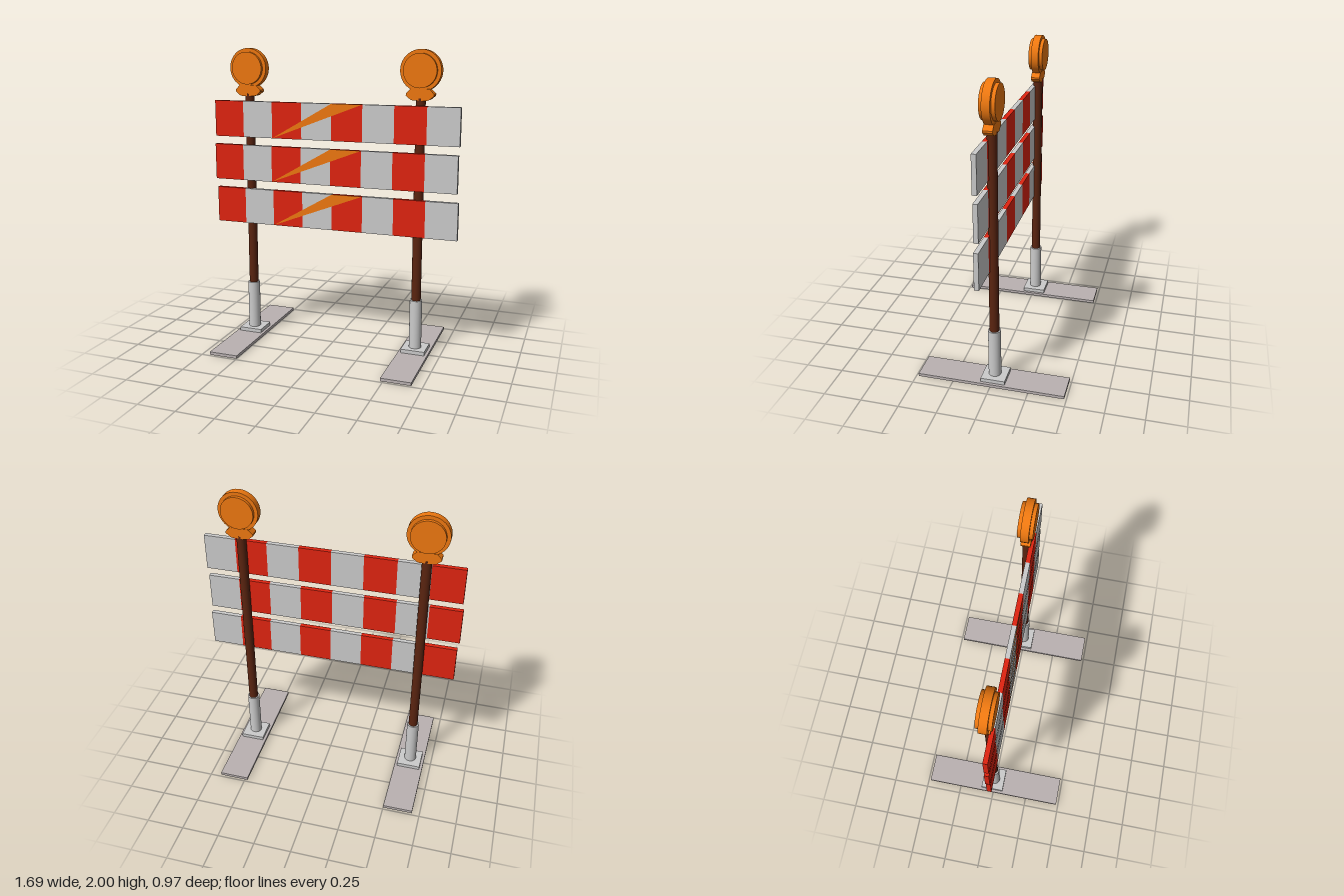
import * as THREE from 'three';

const mat = (color, extra = {}) => new THREE.MeshStandardMaterial({ color, ...extra });
const grey = mat(0xcccccc);
const plateGrey = mat(0xbab2b2);
const red = mat(0xe02410);
const orange = mat(0xee7810);
const orangeThin = mat(0xee7810, { side: THREE.DoubleSide });
const brown = mat(0x5a2410);

const BOARD_W = 1.685, BOARD_H = 0.243, BOARD_D = 0.03, STRIPES = 8;
const AXIS_Z = -0.008;

function add(parent, name, geometry, material, x = 0, y = 0, z = 0) {
  const mesh = new THREE.Mesh(geometry, material);
  mesh.name = name;
  mesh.position.set(x, y, z);
  parent.add(mesh);
  return mesh;
}

// One box split into stripes: red and grey alternate, the underside is orange
function stripedBoardGeometry() {
  const g = new THREE.BoxGeometry(BOARD_W, BOARD_H, BOARD_D, STRIPES, 1, 1);
  const { position, normal } = g.attributes;
  const index = g.index;
  g.clearGroups();
  for (let i = 0; i < index.count; i += 6) {
    const a = index.getX(i), c = index.getX(i + 4);
    const mid = (position.getX(a) + position.getX(c)) / 2;
    const stripe = Math.min(STRIPES - 1, Math.floor((mid / BOARD_W + 0.5) * STRIPES));
    g.addGroup(i, 6, normal.getY(a) < -0.5 ? 2 : stripe % 2);
  }
  return g;
}

// Slanted orange wedge on the face of a board
function wedgeGeometry() {
  const w = BOARD_W / STRIPES, h = BOARD_H / 2;
  return new THREE.ShapeGeometry(new THREE.Shape([
    new THREE.Vector2(-2 * w, -h), new THREE.Vector2(w, h), new THREE.Vector2(0, h),
  ]));
}

// Round warning lamp: broad rim, stepped lens on both sides, flared neck
function createLamp() {
  const lamp = new THREE.Group();
  lamp.name = 'warningLamp';
  const disc = (name, r, depth) => {
    const g = new THREE.CylinderGeometry(r, r, depth, 40).rotateX(Math.PI / 2);
    add(lamp, name, g, orange, 0, 1.87, -0.01);
  };
  disc('lampRim', 0.131, 0.05);
  disc('lampLens', 0.107, 0.095);

  const half = [[0.042, 1.685], [0.06, 1.69], [0.09, 1.715], [0.09, 1.727], [0.06, 1.757]];
  const outline = [...half, ...half.map(([x, y]) => [-x, y]).reverse()];
  const neck = new THREE.ExtrudeGeometry(
    new THREE.Shape(outline.map(([x, y]) => new THREE.Vector2(x, y))),
    { depth: 0.06, bevelEnabled: false });
  add(lamp, 'lampNeck', neck, orange, 0, 0, -0.038);
  return lamp;
}

// Foot plate, flange, sleeve, post and lamp
function createStand(name, x) {
  const stand = new THREE.Group();
  stand.name = name;
  stand.position.x = x;
  add(stand, 'footPlate', new THREE.BoxGeometry(0.198, 0.02, 0.97), plateGrey, 0, 0.01, 0);
  add(stand, 'flange', new THREE.BoxGeometry(0.16, 0.025, 0.16), grey, 0, 0.0325, -0.012);
  add(stand, 'sleeve', new THREE.CylinderGeometry(0.041, 0.041, 0.33, 24), grey, 0, 0.21, AXIS_Z);
  add(stand, 'post', new THREE.CylinderGeometry(0.031, 0.031, 1.35, 24), brown, 0, 1.025, AXIS_Z);
  stand.add(createLamp());
  return stand;
}

export function createModel() {
  const model = new THREE.Group();
  model.name = 'roadBarricade';
  model.add(createStand('rightStand', -0.6), createStand('leftStand', 0.58));

  // Three boards, each shifted slightly sideways
  const board = stripedBoardGeometry();
  const wedge = wedgeGeometry();
  [[0.003, 0.931], [-0.007, 1.232], [0, 1.53]].forEach(([x, y], i) => {
    const group = new THREE.Group();
    group.name = 'board' + (i + 1);
    group.position.set(x, y, 0.021);
    add(group, 'stripedPlank', board, [red, grey, orange]);
    add(group, 'wedgeMark', wedge, orangeThin, 0, 0, BOARD_D / 2 + 0.001);
    model.add(group);
  });
  return model;
}
